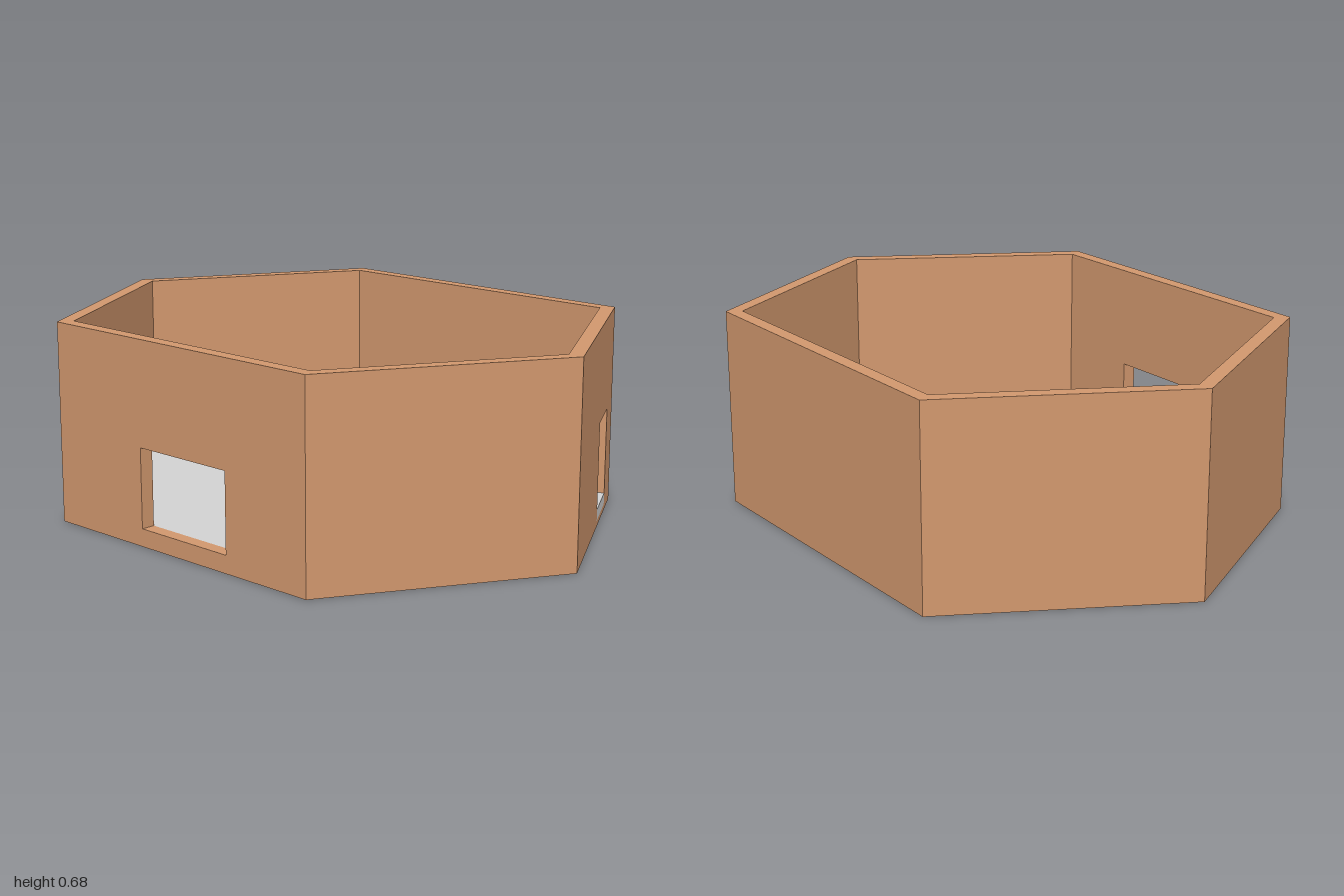
import * as THREE from 'three';

const HEIGHT = 0.68, THICK = 0.048, BASE = 0.02, FLOOR = 0.06;

// Outer corners (x, z), walked anticlockwise seen from above, starting at the front wall
const CORNERS = [[-0.572, 0.738], [0.57, 0.738], [1, -0.01], [0.588, -0.742], [-0.588, -0.742], [-1, 0.01]]
  .map(([x, z]) => new THREE.Vector2(x, z));
const N = CORNERS.length;
const corner = i => CORNERS[(i + N) % N];
const heading = i => {
  const d = corner(i + 1).clone().sub(corner(i));
  return Math.atan2(-d.y, d.x);
};

// How far the inner face is shortened at corner i by the mitre
function mitre(i) {
  const turn = heading(i) - heading(i - 1);
  return THICK * Math.tan(Math.atan2(Math.sin(turn), Math.cos(turn)) / 2);
}

// Rectangle path, used for wall outlines and openings
function rect(path, u0, u1, y0, y1) {
  path.moveTo(u0, y0);
  path.lineTo(u1, y0);
  path.lineTo(u1, y1);
  path.lineTo(u0, y1);
  path.closePath();
  return path;
}

// Wall panel: local x runs along the wall, local z points outward with the outer face at z = 0
function wallGeometry(i, opening) {
  const length = corner(i).distanceTo(corner(i + 1));
  const shape = rect(new THREE.Shape(), 0, length, 0, HEIGHT);
  if (opening) shape.holes.push(rect(new THREE.Path(), ...opening));
  const geo = new THREE.ExtrudeGeometry(shape, { depth: THICK, bevelEnabled: false });
  geo.translate(0, 0, -THICK);
  const p = geo.attributes.position;
  for (let k = 0; k < p.count; k++) {
    if (p.getZ(k) > -THICK / 2) continue;
    if (p.getX(k) < 1e-4) p.setX(k, mitre(i));
    else if (p.getX(k) > length - 1e-4) p.setX(k, length - mitre(i + 1));
  }
  geo.computeVertexNormals();
  return geo;
}

// Flat slab filling the inside of the walls
function slabGeometry(y0, y1) {
  const points = CORNERS.map((c, i) => {
    const a = heading(i), m = mitre(i);
    return new THREE.Vector2(
      c.x + Math.cos(a) * m - Math.sin(a) * THICK,
      -(c.y - Math.sin(a) * m - Math.cos(a) * THICK));
  });
  const geo = new THREE.ExtrudeGeometry(new THREE.Shape(points), { depth: y1 - y0, bevelEnabled: false });
  geo.rotateX(-Math.PI / 2);
  geo.translate(0, y0, 0);
  return geo;
}

export function createModel() {
  const group = new THREE.Group();
  const clay = new THREE.MeshStandardMaterial({ name: 'clay brown', color: 0xd2986e });
  const grey = new THREE.MeshStandardMaterial({ name: 'floor grey', color: 0xd3d3d3 });

  const add = (name, geo, material, parent = group) => {
    const mesh = new THREE.Mesh(geo, material);
    mesh.name = name;
    parent.add(mesh);
    return mesh;
  };

  // Walls, with a window in the front and a doorway in the back left one
  const names = ['frontWall', 'frontLeftWall', 'backLeftWall', 'backWall', 'backRightWall', 'frontRightWall'];
  const door = [0.5, 0.7, BASE, 0.355];
  const openings = { frontWall: [0.405, 0.797, FLOOR, 0.328], backLeftWall: door };
  const walls = names.map((name, i) => {
    const wall = add(name, wallGeometry(i, openings[name]), clay);
    wall.position.set(corner(i).x, 0, corner(i).y);
    wall.rotation.y = heading(i);
    return wall;
  });

  // Door sill, level with the floor and flush with the outer face
  const sill = add('doorSill', new THREE.BoxGeometry(door[1] - door[0], FLOOR - BASE, THICK), grey, walls[2]);
  sill.position.set((door[0] + door[1]) / 2, (BASE + FLOOR) / 2, -THICK / 2);

  // Base and floor
  add('base', slabGeometry(0, BASE), clay);
  add('floor', slabGeometry(BASE, FLOOR), grey);
  return group;
}
